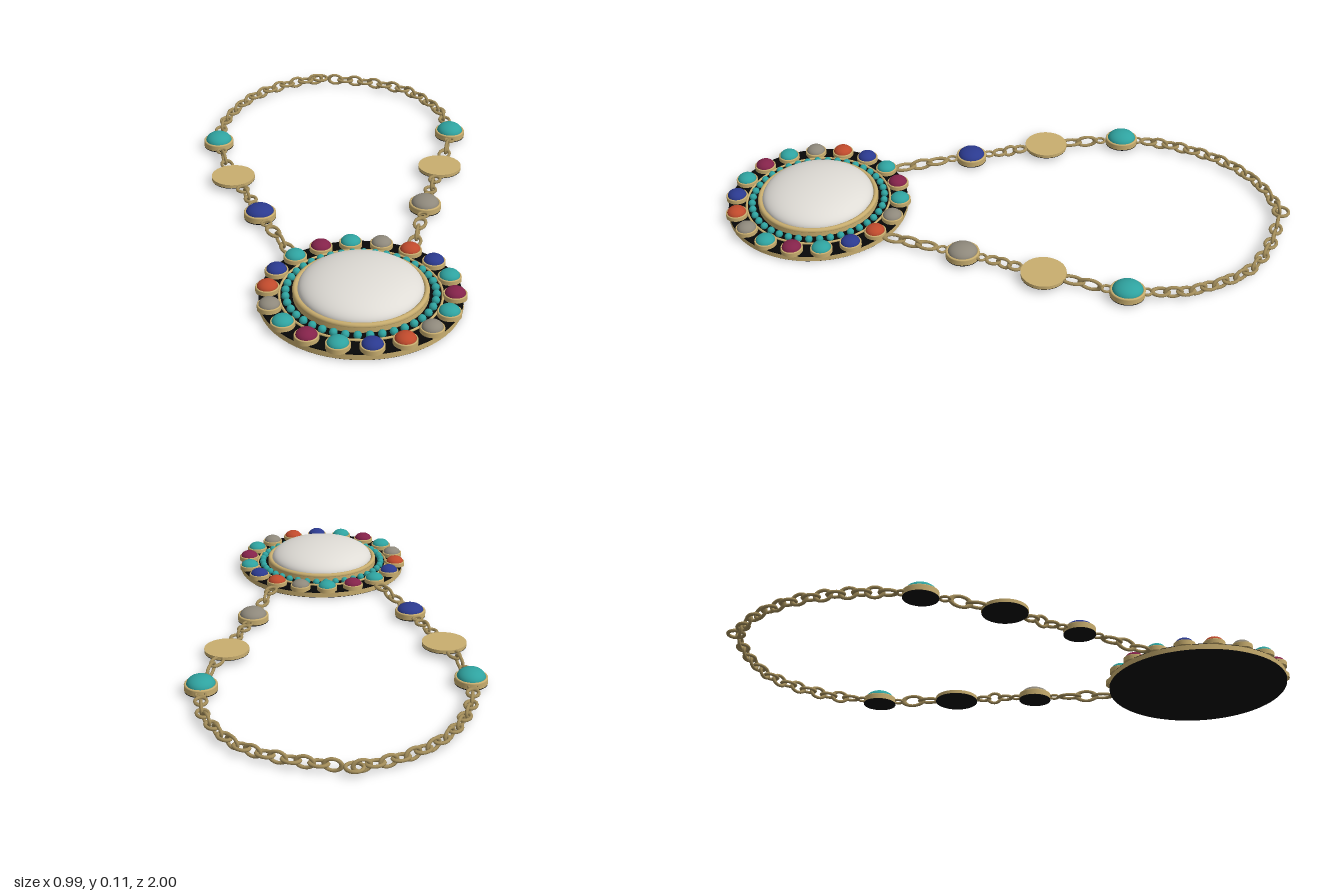
import * as THREE from 'three';

const mat = (name, color) => {
  const m = new THREE.MeshStandardMaterial({ color });
  m.name = name;
  return m;
};

export function createModel() {
  const gold = mat('gold', 0xc9ae6f);
  const bronze = mat('antique bronze', 0xa38d5a);
  const black = mat('black backing', 0x070707);
  const pearl = mat('pearl white', 0xdfdcd6);
  const teal = mat('turquoise', 0x2fa3a0);
  const grey = mat('grey stone', 0x8f897c);
  const coral = mat('coral', 0xc04a2c);
  const blue = mat('lapis blue', 0x2b3a8f);
  const garnet = mat('garnet', 0x84234a);

  const necklace = new THREE.Group();
  necklace.name = 'necklace';

  const add = (parent, name, geometry, material, x = 0, y = 0, z = 0) => {
    const mesh = new THREE.Mesh(geometry, material);
    mesh.name = name;
    mesh.position.set(x, y, z);
    parent.add(mesh);
    return mesh;
  };
  const disc = (r, y0, y1, n = 72) => new THREE.CylinderGeometry(r, r, y1 - y0, n).translate(0, (y0 + y1) / 2, 0);
  const ring = (r, tube, n = 72) => new THREE.TorusGeometry(r, tube, 10, n).rotateX(Math.PI / 2);
  const dome = (r, h, n = 28) =>
    new THREE.SphereGeometry(r, n, Math.ceil(n / 3), 0, Math.PI * 2, 0, Math.PI / 2).scale(1, h / r, 1);

  // Domed stone in a gold setting with a visible lip
  const setStone = (parent, name, x, z, r, y0, y1, top, material) => {
    const g = new THREE.Group();
    g.name = name;
    g.position.set(x, 0, z);
    add(g, 'setting', disc(r, y0, y1, 28), gold);
    add(g, 'settingLip', ring(r * 0.92, r * 0.08, 28), gold, 0, y1, 0);
    add(g, 'stone', dome(r * 0.87, top - y1), material, 0, y1, 0);
    parent.add(g);
    return g;
  };

  // Pendant: black plate with a gold edge band
  const pendant = new THREE.Group();
  pendant.name = 'pendant';
  pendant.position.set(-0.028, 0, 0.67);
  necklace.add(pendant);
  add(pendant, 'backing', disc(0.317, 0.005, 0.028), black);
  add(pendant, 'rim', new THREE.CylinderGeometry(0.319, 0.319, 0.018, 72, 1, true), gold, 0, 0.016, 0);
  add(pendant, 'centreSetting', disc(0.212, 0.02, 0.048), gold);
  add(pendant, 'centreLip', ring(0.204, 0.009), gold, 0, 0.048, 0);
  add(pendant, 'centreStone', dome(0.196, 0.067, 60), pearl, 0, 0.05, 0);
  add(pendant, 'beadBorder', ring(0.2535, 0.004), gold, 0, 0.031, 0);

  // Small beads around the centre
  const beads = 40;
  const bead = new THREE.SphereGeometry(0.013, 12, 8);
  for (let i = 0; i < beads; i++) {
    const a = (i / beads) * Math.PI * 2;
    add(pendant, 'bead', bead, teal, Math.sin(a) * 0.234, 0.035, -Math.cos(a) * 0.234);
  }

  // Outer stones, clockwise from the chain side
  const colours = [teal, grey, coral, blue, teal, garnet];
  for (let i = 0; i < 18; i++) {
    const a = (i / 18) * Math.PI * 2;
    setStone(pendant, 'outerStone', Math.sin(a) * 0.291, -Math.cos(a) * 0.291,
      0.038, 0.026, 0.041, 0.063, colours[i % 6]);
  }

  // Chain stations with black undersides; the turquoise ones are slightly oval
  const stations = [
    [-0.314, 0.14, blue, 0.062, 1], [0.257, 0.14, grey, 0.064, 1.06],
    [-0.441, -0.422, teal, 0.067, 1.08], [0.439, -0.41, teal, 0.067, 1.08],
  ];
  for (const [x, z, m, top, oval] of stations) {
    const g = setStone(necklace, 'chainStone', x, z, 0.055, 0.018, 0.036, top, m);
    add(g, 'stoneBacking', disc(0.0545, 0.015, 0.018, 28), black);
    g.scale.z = oval;
  }
  for (const [x, z] of [[-0.396, -0.137], [0.354, -0.135]]) {
    add(necklace, 'goldDisc', disc(0.077, 0.023, 0.035, 48), gold, x, 0, z);
    add(necklace, 'discBacking', disc(0.0765, 0.021, 0.023, 48), black, x, 0, z);
  }

  // Oval link, flat or upright, turned along the chain
  const linkShape = new THREE.TorusGeometry(0.0188, 0.0056, 8, 20);
  const addLink = (x, z, dx, dz, stretch, upright) => {
    const link = add(necklace, 'chainLink', linkShape, bronze, x, 0.029, z);
    link.rotation.order = 'YXZ';
    link.rotation.set(upright ? 0 : Math.PI / 2, Math.atan2(-dz, dx), 0);
    link.scale.x = stretch;
  };

  // Straight lengths between stations, as [x0, z0, x1, z1, links]
  const runs = [
    [-0.226, 0.41, -0.286, 0.235, 3], [0.176, 0.41, 0.229, 0.235, 3],
    [-0.335, 0.055, -0.372, -0.058, 3], [0.285, 0.055, 0.328, -0.058, 3],
    [-0.41, -0.2, -0.43, -0.32, 2], [0.377, -0.2, 0.418, -0.32, 2],
  ];
  for (const [x0, z0, x1, z1, n] of runs) {
    const dx = x1 - x0, dz = z1 - z0;
    for (let i = 0; i < n; i++) {
      const t = (i + 0.5) / n;
      addLink(x0 + dx * t, z0 + dz * t, dx, dz, Math.hypot(dx, dz) / n / 0.034, i % 2 === 1);
    }
  }

  // Small round rings joining the stations to the chain
  const jumpRing = ring(0.016, 0.0045, 20);
  const jumps = [
    [-0.296, 0.21], [-0.331, 0.075], [-0.432, -0.342], [-0.438, -0.482],
    [0.239, 0.21], [0.278, 0.075], [0.427, -0.342], [0.439, -0.474],
  ];
  for (const [x, z] of jumps) add(necklace, 'jumpRing', jumpRing, bronze, x, 0.029, z);

  // Neck arc
  const arc = new THREE.CatmullRomCurve3([
    [-0.433, -0.503], [-0.428, -0.53], [-0.407, -0.61], [-0.375, -0.685], [-0.333, -0.76], [-0.28, -0.826],
    [-0.211, -0.884], [-0.137, -0.926], [-0.058, -0.952], [-0.008, -0.96], [0.074, -0.942], [0.158, -0.915],
    [0.243, -0.873], [0.317, -0.82], [0.37, -0.747], [0.406, -0.673], [0.432, -0.6], [0.438, -0.52],
    [0.438, -0.497],
  ].map(([x, z]) => new THREE.Vector3(x, 0, z)));
  const count = 33;
  for (let i = 0; i < count; i++) {
    if (i === 16) continue; // gap for the clasp ring
    const p = arc.getPointAt((i + 0.5) / count);
    const d = arc.getTangentAt((i + 0.5) / count);
    addLink(p.x, p.z, d.x, d.z, 1.4, i % 2 === 1);
  }
  add(necklace, 'claspRing', ring(0.027, 0.006, 28), bronze, -0.008, 0.029, -0.967);

  return necklace;
}
